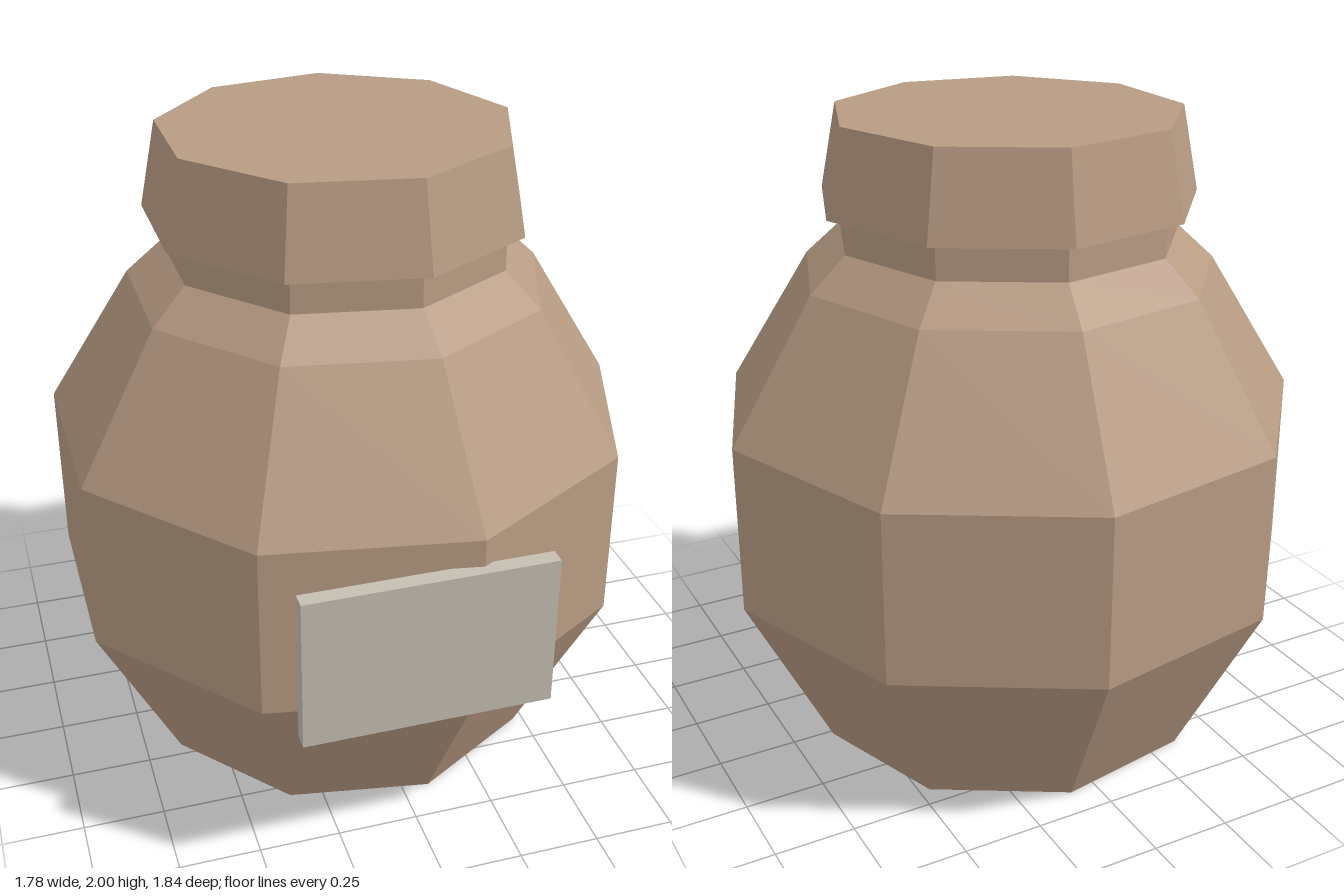
import * as THREE from 'three';

const SIDES = 9;
const AXIS_X = -0.028, AXIS_Z = -0.017;

export function createModel() {
  const group = new THREE.Group();
  group.name = 'jar';

  const clay = new THREE.MeshStandardMaterial({ color: 0xb89b83, flatShading: true });
  clay.name = 'clay brown';
  const paper = new THREE.MeshStandardMaterial({ color: 0xc4beb1, flatShading: true });
  paper.name = 'label cream';

  // Nine-sided turned part with one corner pointing to +x; profile runs bottom to top
  function turned(name, profile) {
    const points = profile.map(([r, y]) => new THREE.Vector2(r, y));
    const mesh = new THREE.Mesh(new THREE.LatheGeometry(points, SIDES, Math.PI / 2), clay);
    mesh.name = name;
    mesh.position.set(AXIS_X, 0, AXIS_Z);
    group.add(mesh);
  }

  // Body with closed base and rounded shoulder
  turned('body', [[0, 0], [0.647, 0], [0.918, 0.545], [0.918, 1.085], [0.65, 1.52], [0.537, 1.625]]);

  // Narrow neck between shoulder and lid
  turned('neck', [[0.537, 1.625], [0.537, 1.735]]);

  // Tapered lid, overhanging the neck
  turned('lid', [[0, 1.735], [0.59, 1.735], [0.537, 2], [0, 2]]);

  // Label plate on the front
  const label = new THREE.Mesh(new THREE.BoxGeometry(0.75, 0.483, 0.05), paper);
  label.name = 'label';
  label.position.set(-0.03, 0.759, 0.895);
  group.add(label);

  return group;
}
